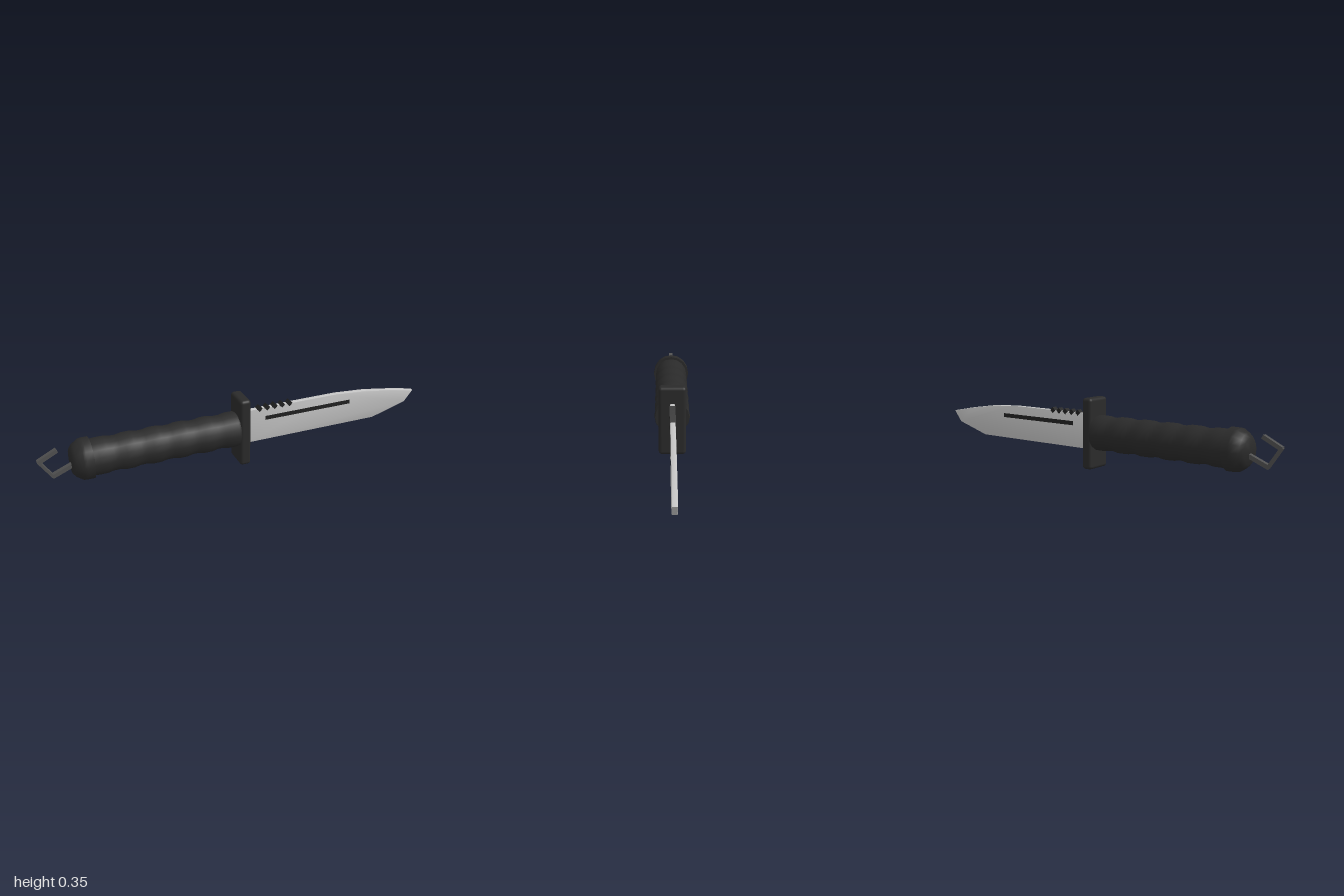
import * as THREE from 'three';
import { toCreasedNormals } from 'three/addons/utils/BufferGeometryUtils.js';
import { RoundedBoxGeometry } from 'three/addons/geometries/RoundedBoxGeometry.js';

const AXIS_Y = 0.18; // height of the handle's axis

export function createModel() {
  const group = new THREE.Group();
  const material = (name, color) => {
    const m = new THREE.MeshStandardMaterial({ color });
    m.name = name;
    return m;
  };
  const grip = material('black grip', 0x2a2a2a);
  const steel = material('blade steel', 0xc4c4c4);
  const wire = material('dark metal', 0x505050);
  const recess = material('dark recess', 0x202020);

  const add = (name, geometry, mat, x = 0, y = 0, z = 0) => {
    const mesh = new THREE.Mesh(geometry, mat);
    mesh.name = name;
    mesh.position.set(x, y, z);
    group.add(mesh);
    return mesh;
  };
  // Lathe along x from [x, radius] pairs
  const latheX = (profile, crease) => {
    const pts = profile.map(([x, r]) => new THREE.Vector2(r, x));
    const geo = new THREE.LatheGeometry(pts, 16).rotateZ(-Math.PI / 2);
    return toCreasedNormals(geo, crease);
  };

  // Handle with six finger ridges
  const profile = [[-0.77, 0.0], [-0.77, 0.086]];
  for (let i = 0; i < 6; i++) {
    const x = -0.705 + i * 0.13;
    profile.push([x - 0.02, 0.089], [x + 0.02, 0.089]);
    if (i < 5) profile.push([x + 0.05, 0.083], [x + 0.08, 0.083]);
  }
  profile.push([-0.025, 0.086], [-0.025, 0]);
  add('handle', latheX(profile, 0.9), grip, 0, AXIS_Y);

  // Domed pommel
  add('pommel', latheX([
    [-0.845, 0], [-0.845, 0.06], [-0.83, 0.078], [-0.8, 0.098],
    [-0.785, 0.1], [-0.752, 0.1], [-0.752, 0],
  ], 0.9), grip, 0, AXIS_Y);

  // Cross guard
  add('guard', new RoundedBoxGeometry(0.056, 0.354, 0.137, 3, 0.016), grip, 0.003, 0.177);

  // Blade with clipped tip and bevelled edges
  const outline = new THREE.Shape([
    [0.02, 0.091], [0.76, 0.091], [0.952, 0.147], [1, 0.207],
    [0.86, 0.234], [0.7, 0.258], [0.53, 0.27], [0.02, 0.27],
  ].map(([x, y]) => new THREE.Vector2(x, y)));
  const blade = new THREE.ExtrudeGeometry(outline, {
    depth: 0.017, bevelThickness: 0.004, bevelSize: 0.004, bevelOffset: -0.004, bevelSegments: 2,
  });
  add('blade', toCreasedNormals(blade, 0.7), steel, 0, 0, -0.0085);

  // Fuller groove on both faces
  for (const side of [1, -1]) {
    add('fuller', new THREE.BoxGeometry(0.48, 0.021, 0.003), recess, 0.371, 0.213, side * 0.0125);
  }

  // Saw teeth along the spine
  for (let i = 0; i < 5; i++) {
    const tooth = add('sawTooth', new THREE.BoxGeometry(0.022, 0.022, 0.028), recess, 0.1 + i * 0.041, 0.269);
    tooth.rotation.z = Math.PI / 4;
  }

  // Open lanyard loop made of three bars
  const loop = [[-0.825, 0.167], [-0.933, 0.122], [-0.99, 0.208], [-0.907, 0.25]];
  const thickness = [0.02, 0.013, 0.019];
  for (let i = 0; i < 3; i++) {
    const [x0, y0] = loop[i], [x1, y1] = loop[i + 1];
    const length = Math.hypot(x1 - x0, y1 - y0) + 0.008;
    const bar = add('lanyardLoop', new THREE.BoxGeometry(length, thickness[i], 0.022), wire,
      (x0 + x1) / 2, (y0 + y1) / 2);
    bar.rotation.z = Math.atan2(y1 - y0, x1 - x0);
  }

  return group;
}
